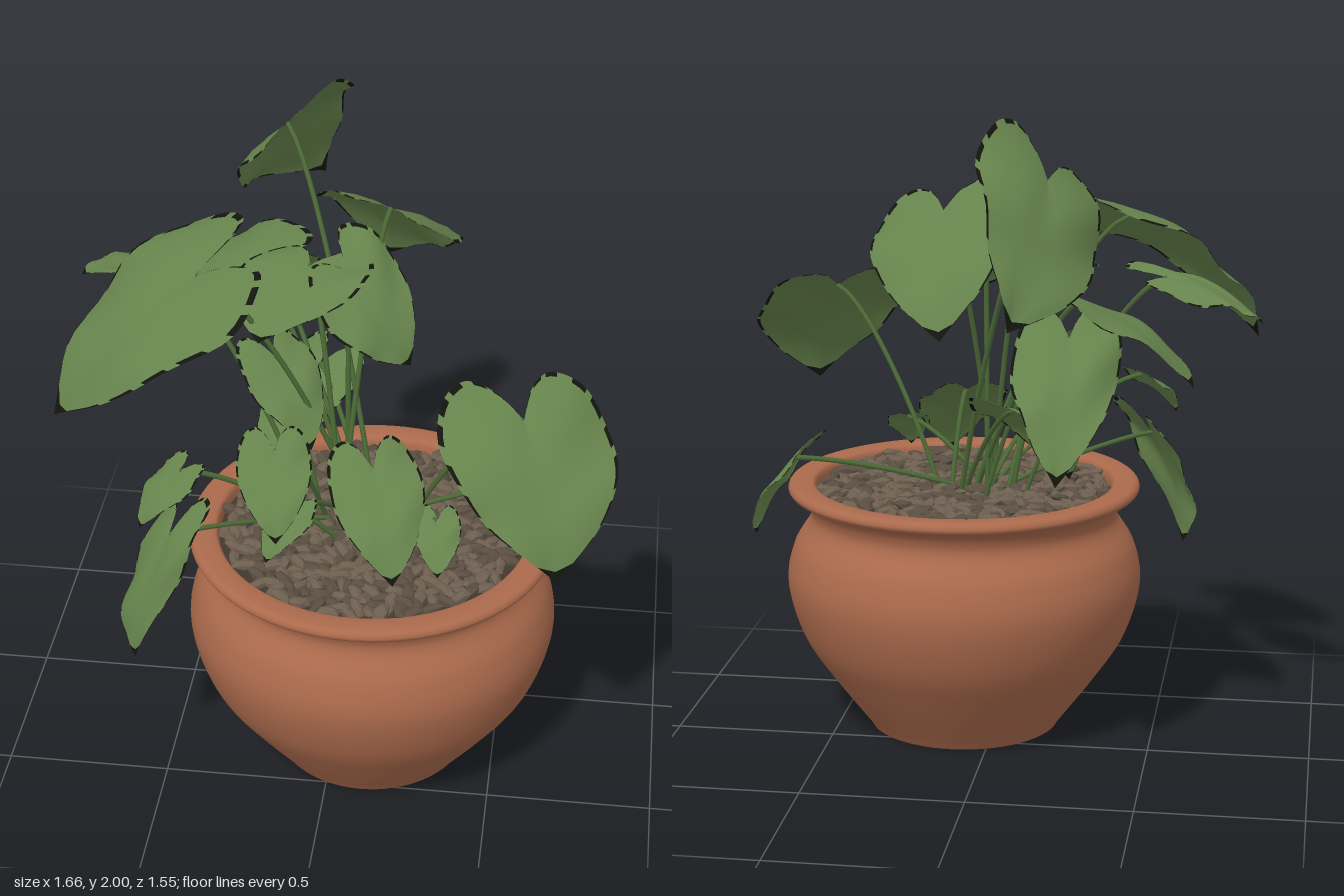
import * as THREE from 'three';
import { mergeGeometries } from 'three/addons/utils/BufferGeometryUtils.js';

const V = (p) => new THREE.Vector3(...p);
const spline = (points) => new THREE.SplineCurve(points.map((p) => new THREE.Vector2(...p)));
const POT_X = 0.11, POT_Z = 0.22, SOIL_Y = 0.76;

// Half heart outline: x runs from stalk (0) to tip (1), y is the half width
const outline = spline([[0, 0], [-0.2, 0.22], [-0.29, 0.52], [-0.17, 0.84], [0.1, 1], [0.4, 0.92], [0.72, 0.56], [1, 0]]);

// Heart leaf from stalk point, tip point and half-width vector, with a ragged dry rim as second group
function leafGeometry(stalk, tip, side, phase) {
  const n = 32, across = [-1, -0.95, -0.75, -0.5, -0.25, 0, 0.25, 0.5, 0.75, 0.95, 1], w = across.length;
  const pos = [], blade = [], rim = [];
  const axis = tip.clone().sub(stalk), len = axis.length();
  if (axis.clone().cross(side).y < 0) side = side.clone().negate();
  const normal = axis.clone().cross(side).normalize();
  for (let i = 0; i <= n; i++) {
    const t = i / n, edge = outline.getPoint(t);
    for (const s of across) {
      const a = THREE.MathUtils.lerp(t, edge.x, Math.abs(s)), b = edge.y * s;
      const arch = 0.32 * a * (1 - a) - 0.13 * b * b + 0.08 * Math.abs(b);
      const ripple = 0.035 * Math.sin(a * 9 + b * 3 + phase) * Math.abs(b);
      const p = stalk.clone().addScaledVector(axis, a).addScaledVector(side, b)
        .addScaledVector(normal, len * (arch + ripple));
      pos.push(p.x, p.y, p.z);
    }
  }
  for (let i = 0; i < n; i++) for (let j = 0; j < w - 1; j++) {
    const k = i * w + j, outer = j === 0 || j === w - 2;
    const dry = i >= n - 2 || (outer && Math.sin(i * 1.9 + j + phase) > -0.4);
    (dry ? rim : blade).push(k, k + w, k + 1, k + 1, k + w, k + w + 1);
  }
  const g = new THREE.BufferGeometry();
  g.setAttribute('position', new THREE.Float32BufferAttribute(pos, 3));
  g.setIndex([...blade, ...rim]);
  g.addGroup(0, blade.length, 0);
  g.addGroup(blade.length, rim.length, 1);
  g.computeVertexNormals();
  return g;
}

// Large leaves: stalk point, tip point, half-width vector
const largeLeaves = [
  [[-0.22, 1.83, -0.36], [-0.16, 1.47, -0.77], [0.16, 0.14, -0.08]],   // tall back
  [[0.12, 1.7, -0.1], [0.08, 1.37, -0.43], [0.22, -0.04, 0.05]],       // upper back
  [[-0.3, 1.45, -0.16], [-0.64, 1.23, -0.3], [0.07, 0.06, -0.21]],     // back left
  [[-0.28, 1.37, -0.32], [-0.28, 1.01, -0.65], [0.15, 0, -0.07]],      // hanging back
  [[-0.54, 1.5, -0.02], [-0.83, 1.39, -0.14], [0.07, 0.03, 0.13]],     // far left
  [[-0.4, 1.64, 0.26], [-0.8, 1.24, 0.42], [0.1, -0.05, 0.25]],        // large left
  [[-0.1, 1.58, 0.05], [-0.22, 1.44, 0.28], [0.19, 0.02, 0.06]],       // upper middle
  [[0.02, 1.58, 0.08], [0.21, 1.32, 0.15], [0.07, 0.07, -0.13]],       // middle right
  [[0.56, 1.36, 0.47], [0.68, 1, 0.73], [0.23, -0.02, -0.11]],         // large right
  [[0.62, 0.89, 0.05], [0.72, 0.67, -0.05], [-0.04, 0.04, 0.11]],      // over right rim
  [[-0.46, 0.9, 0.5], [-0.56, 0.51, 0.59], [0.09, 0.05, 0.06]],        // over left rim
].map((leaf) => leaf.map(V));

// Small leaves slope down at 45 degrees: x, y, z, heading from +z, length
const smallLeaves = [
  [-0.43, 1.1, 0.46, -0.83, 0.2],
  [-0.15, 1.2, 0.47, 0.16, 0.27],
  [0.12, 1.06, 0.32, 0.35, 0.35],
  [0.32, 0.95, 0.4, 0.1, 0.17],
  [-0.1, 0.97, 0.42, -0.6, 0.18],
  [-0.1, 1.11, -0.17, -0.6, 0.36],
  [-0.2, 1.29, 0.1, 0.66, 0.3],
].map(([x, y, z, heading, size]) => {
  const sin = Math.sin(heading), cos = Math.cos(heading), step = size * 0.71;
  const half = size * 0.4;
  return [V([x, y, z]), V([x + sin * step, y - step, z + cos * step]), V([cos * half, 0, -sin * half])];
});

export function createModel() {
  const model = new THREE.Group();
  model.name = 'pottedPlant';
  const mat = (name, color, side = THREE.FrontSide, flatShading = false) => {
    const m = new THREE.MeshStandardMaterial({ color, side, flatShading });
    m.name = name;
    return m;
  };
  const terracotta = mat('terracotta', 0xab6a4c);
  const leafGreen = mat('leaf green', 0x66834c, THREE.DoubleSide);
  const dryRim = mat('dry leaf rim', 0x12150d, THREE.DoubleSide);
  const stemGreen = mat('stem green', 0x4c6a36);
  const soilBrown = mat('soil brown', 0x41382f);
  const pebbleBrown = mat('pebble brown', 0x6c5e4f, THREE.FrontSide, true);
  const pebbleDark = mat('dark pebble brown', 0x594d40, THREE.FrontSide, true);
  const add = (name, geometry, material, parent = model) => {
    const mesh = new THREE.Mesh(geometry, material);
    mesh.name = name;
    parent.add(mesh);
    return mesh;
  };

  // Pot: flat base, round belly, narrow neck, rolled rim and inner wall
  const wall = spline([[0.305, 0.01], [0.425, 0.17], [0.515, 0.31], [0.56, 0.47], [0.54, 0.59], [0.49, 0.675],
    [0.49, 0.72], [0.515, 0.755], [0.545, 0.765], [0.555, 0.782], [0.54, 0.8], [0.49, 0.8], [0.468, 0.785], [0.462, 0.72]]);
  const base = [0, 0.294, 0.3].map((r) => new THREE.Vector2(r, 0));
  add('pot', new THREE.LatheGeometry([...base, ...wall.getPoints(70)], 72), terracotta).position.set(POT_X, 0, POT_Z);

  // Soil with a bed of pebbles
  add('soil', new THREE.CircleGeometry(0.475, 48).rotateX(-Math.PI / 2), soilBrown).position.set(POT_X, SOIL_Y, POT_Z);
  let seed = 7;
  const rnd = () => (seed = (seed * 16807) % 2147483647) / 2147483647;
  const piles = [[], []];
  const count = 430;
  for (let i = 0; i < count; i++) {
    const r = 0.445 * Math.sqrt((i + 0.5) / count), a = i * 2.39996;
    const g = new THREE.IcosahedronGeometry(1, 0);
    g.scale(0.035 + rnd() * 0.012, 0.014 + rnd() * 0.007, 0.017 + rnd() * 0.008);
    g.rotateZ((rnd() - 0.5) * 0.8).rotateY(rnd() * Math.PI);
    g.translate(POT_X + r * Math.cos(a), 0.77 + rnd() * 0.016, POT_Z + r * Math.sin(a));
    piles[rnd() < 0.6 ? 0 : 1].push(g);
  }
  add('pebbles', mergeGeometries(piles[0]), pebbleBrown);
  add('darkPebbles', mergeGeometries(piles[1]), pebbleDark);

  // Leaves on arching stems that rise from the middle of the pot
  [...largeLeaves, ...smallLeaves].forEach(([stalk, tip, side], i) => {
    const plant = new THREE.Group();
    plant.name = 'leafAndStem' + (i + 1);
    model.add(plant);
    add('leaf', leafGeometry(stalk, tip, side, i * 1.7), [leafGreen, dryRim], plant);
    const root = new THREE.Vector3(0.06 + 0.09 * Math.cos(i * 2.4), SOIL_Y, 0.18 + 0.08 * Math.sin(i * 2.4));
    root.lerp(stalk.clone().setY(SOIL_Y), 0.12);
    const rise = stalk.y - SOIL_Y;
    const low = root.clone().lerp(stalk, 0.25).setY(SOIL_Y + rise * 0.45);
    const high = root.clone().lerp(stalk, 0.75).setY(SOIL_Y + rise * 0.97);
    const path = new THREE.CubicBezierCurve3(root, low, high, stalk);
    add('stem', new THREE.TubeGeometry(path, 20, 0.008, 6), stemGreen, plant);
  });
  return model;
}
